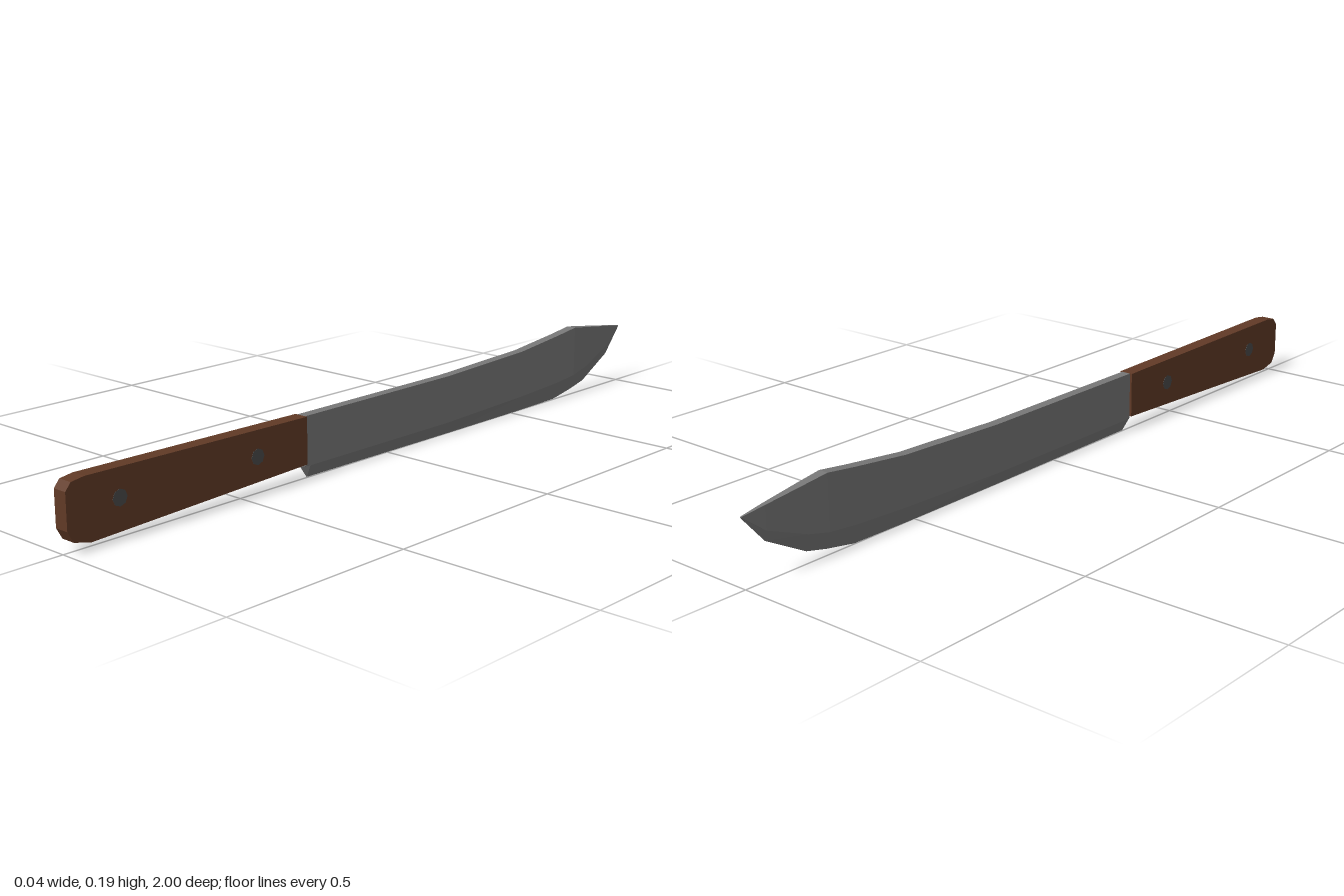
import * as THREE from 'three';

const material = (name, color) => {
  const m = new THREE.MeshStandardMaterial({ color, flatShading: true });
  m.name = name;
  return m;
};

// Blade stations from guard to tip: z, spine y, bevel y, edge y, half thickness
const STATIONS = [
  [0.30, 0.157, 0.035, 0.03, 0.013],
  [0.285, 0.157, 0.033, 0.002, 0.013],
  [-0.22, 0.157, 0.033, 0, 0.013],
  [-0.53, 0.168, 0.042, 0, 0.013],
  [-0.69, 0.185, 0.05, 0.002, 0.013],
  [-0.77, 0.195, 0.058, 0.016, 0.013],
  [-0.83, 0.187, 0.072, 0.03, 0.011],
  [-0.94, 0.172, 0.115, 0.09, 0.006],
  [-1.0, 0.163, 0.162, 0.16, 0.002],
];

// Loft six-sided sections: flat spine, flat cheeks, bevel down to the edge
function bladeGeometry() {
  const positions = [];
  const index = [];
  const n = 6;
  for (const [z, spine, bevel, edge, h] of STATIONS) {
    positions.push(-h, spine, z, -h, bevel, z, -0.001, edge, z);
    positions.push(0.001, edge, z, h, bevel, z, h, spine, z);
  }
  const last = (STATIONS.length - 1) * n;
  for (let s = 0; s < last; s += n) {
    for (let k = 0; k < n; k++) {
      const a = s + k, b = s + (k + 1) % n;
      index.push(a, b + n, b, a, a + n, b + n);
    }
  }
  for (let k = 1; k < n - 1; k++) {
    index.push(0, k, k + 1, last, last + k + 1, last + k);
  }
  const g = new THREE.BufferGeometry();
  g.setAttribute('position', new THREE.Float32BufferAttribute(positions, 3));
  g.setIndex(index);
  g.computeVertexNormals();
  return g;
}

// Side outline (z, y) of the handle, extruded across x
function handleGeometry() {
  const outline = [
    [0.30, 0.04], [0.94, 0.016], [0.985, 0.027], [1.0, 0.054],
    [1.0, 0.141], [0.985, 0.159], [0.95, 0.164], [0.30, 0.157],
  ].map(([z, y]) => new THREE.Vector2(z, y));
  const width = 0.038;
  const g = new THREE.ExtrudeGeometry(new THREE.Shape(outline), { depth: width, bevelEnabled: false });
  g.translate(0, 0, -width / 2);
  g.rotateY(-Math.PI / 2);
  return g;
}

export function createModel() {
  const steel = material('blade steel', 0x777777);
  const wood = material('handle wood', 0x613a26);
  const dark = material('rivet metal', 0x4a4a4a);

  const model = new THREE.Group();
  model.name = 'knife';
  const add = (name, geometry, mat) => {
    const mesh = new THREE.Mesh(geometry, mat);
    mesh.name = name;
    model.add(mesh);
    return mesh;
  };

  add('blade', bladeGeometry(), steel);
  add('handle', handleGeometry(), wood);

  // Rivets pass through the handle and show on both sides
  const rivet = new THREE.CylinderGeometry(0.02, 0.02, 0.0395, 8);
  rivet.rotateZ(Math.PI / 2);
  for (const [name, z] of [['frontRivet', 0.46], ['rearRivet', 0.86]]) {
    add(name, rivet, dark).position.set(0, 0.095, z);
  }
  return model;
}
